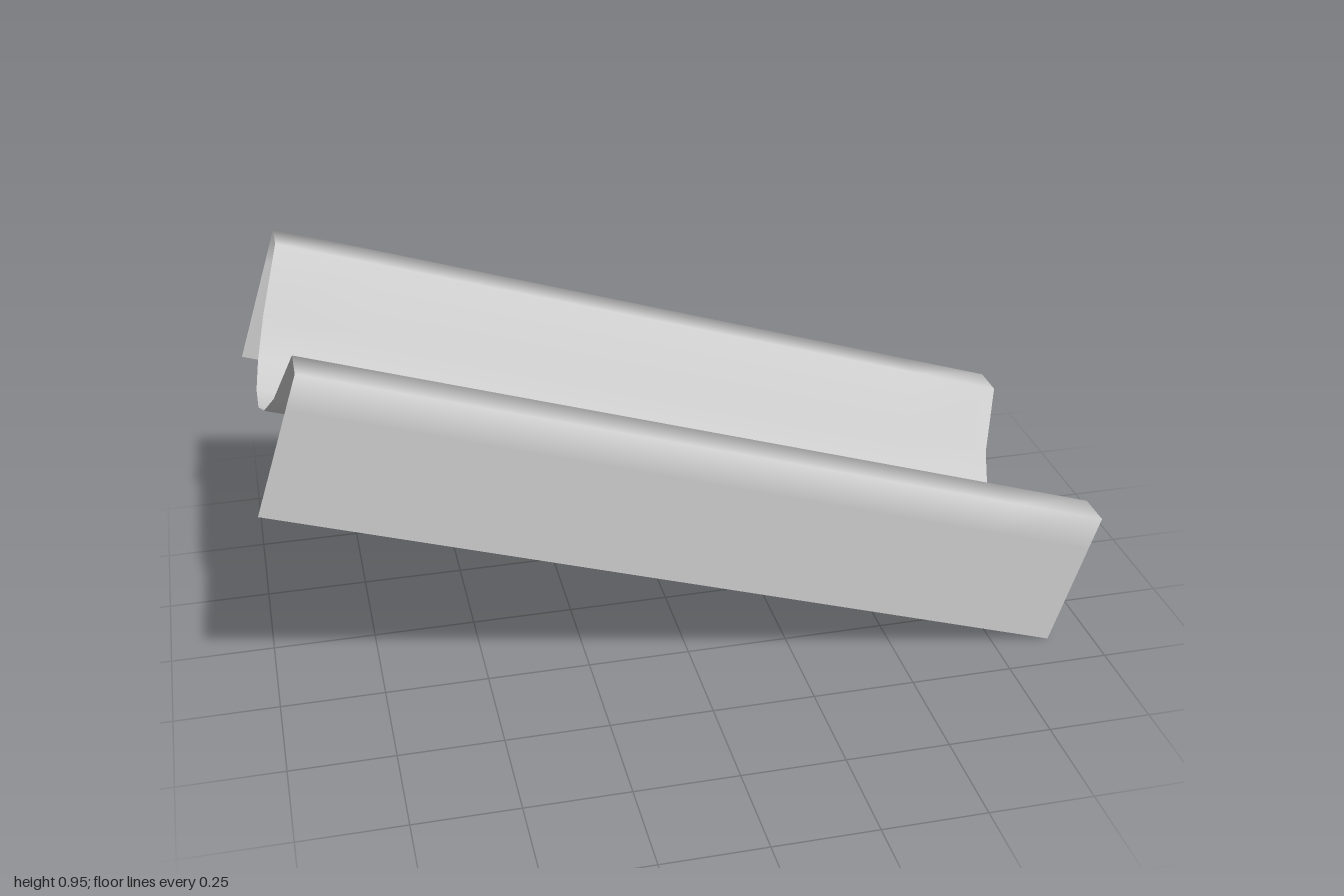
import * as THREE from 'three';

// Half of the channel's cross-section, outer hem to trough centre: [z, depth below rim]
const HALF = [
  [0.4, 0.352], [0.4, 0.264], [0.4, 0.176], [0.4, 0.088], [0.4, 0],
  [0.31, 0], [0.221, 0.152], [0.133, 0.228], [0.045, 0.265],
];
const LENGTH = 1.988;
const TILT = 0.3146;

export function createModel() {
  const model = new THREE.Group();
  model.name = 'slopedChute';

  // Mirror the half section into the full one, back to front
  const section = [
    ...HALF.map(([z, d]) => [-z, -d]),
    ...HALF.slice().reverse().map(([z, d]) => [z, -d]),
  ];

  // Bend a flat sheet: each row of vertices takes one point of the section
  const columns = 8;
  const geometry = new THREE.PlaneGeometry(LENGTH, 1, columns, section.length - 1);
  const position = geometry.attributes.position;
  for (let i = 0; i < position.count; i++) {
    const [z, y] = section[Math.floor(i / (columns + 1))];
    position.setXYZ(i, position.getX(i), y, z);
  }
  geometry.computeVertexNormals();

  // Open trough with side skirts, sloping down towards +x
  const channel = new THREE.Mesh(
    geometry,
    new THREE.MeshStandardMaterial({ color: 0xcccccc, side: THREE.DoubleSide }),
  );
  channel.name = 'channelSheet';
  channel.rotation.z = -TILT;
  channel.position.set(0.0545, 0.643, 0);
  model.add(channel);
  return model;
}
